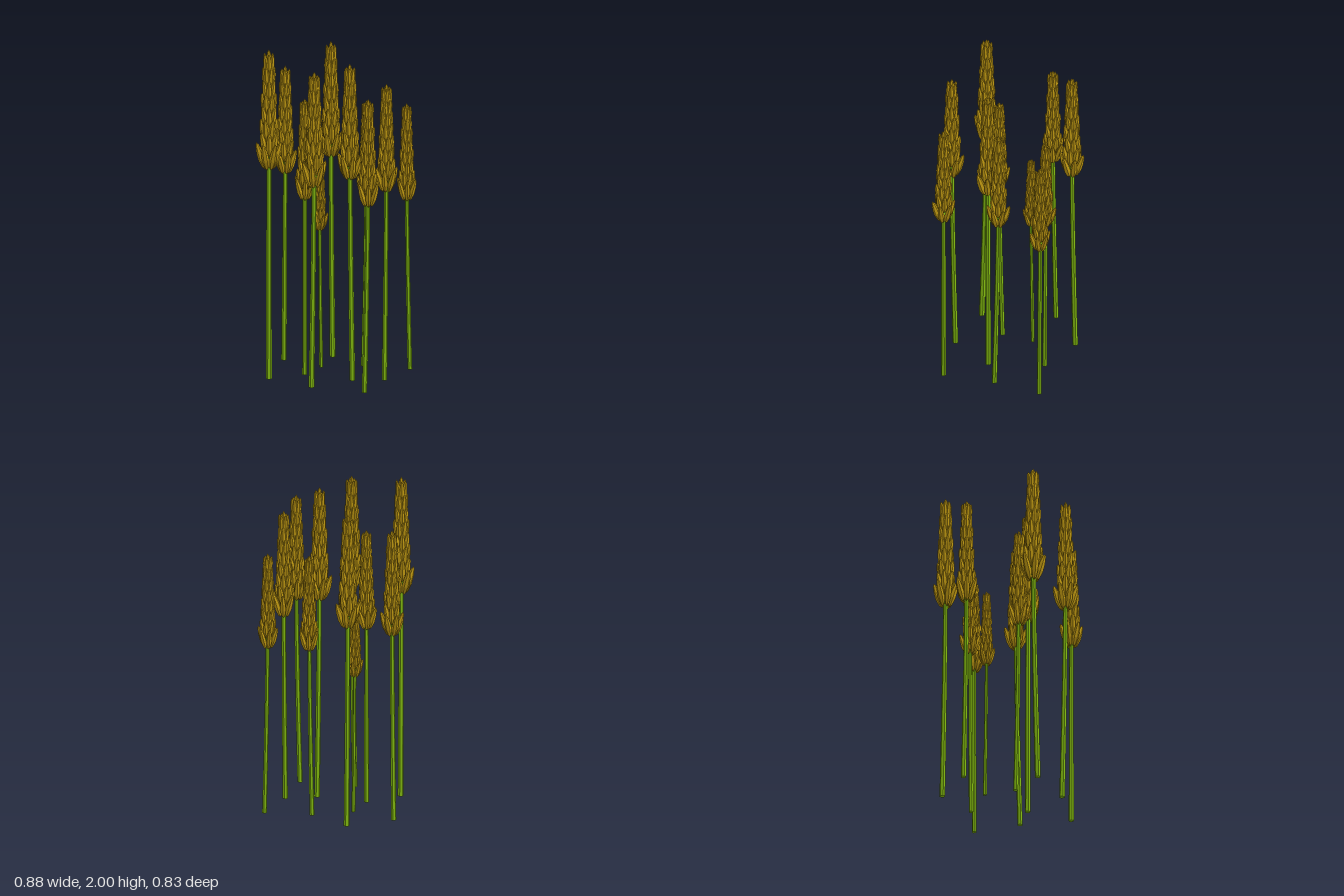
import * as THREE from 'three';
import { mergeGeometries } from 'three/addons/utils/BufferGeometryUtils.js';

const gold = new THREE.MeshStandardMaterial({ color: 0xc49c12, flatShading: true });
const green = new THREE.MeshStandardMaterial({ color: 0x85be10, flatShading: true });

// One kernel of unit length: a slim six-sided spindle standing on its base
function kernel(length, radius) {
  const profile = [[0, 0], [0.6, 0.1], [1, 0.36], [0.88, 0.64], [0.5, 0.9], [0, 1]];
  return new THREE.LatheGeometry(
    profile.map(([r, y]) => new THREE.Vector2(r * radius, y * length)), 6);
}

// Ear of grain for a stalk of unit height: alternating rings of leaning kernels
function earGeometry() {
  const parts = [];
  const rings = 8, perRing = 6;
  const pose = new THREE.Object3D();
  pose.rotation.order = 'YXZ';
  for (let i = 0; i < rings; i++) {
    const t = i / (rings - 1);
    const flare = i === 0 ? 1 : 0;
    const length = 0.078 + 0.01 * flare - 0.008 * t;
    const radius = 0.0108 - 0.0022 * t;
    const base = 0.011 - 0.005 * t;
    for (let k = 0; k < perRing; k++) {
      const a = ((k + (i % 2) / 2) / perRing) * Math.PI * 2;
      pose.position.set(Math.sin(a) * base, 0.634 + 0.285 * t, Math.cos(a) * base);
      pose.rotation.set(0.23 + 0.07 * flare - 0.11 * t, a, 0);
      pose.updateMatrix();
      parts.push(kernel(length, radius).applyMatrix4(pose.matrix));
    }
  }
  // Tip kernel
  parts.push(kernel(0.085, 0.01).translate(0, 0.915, 0));
  return mergeGeometries(parts);
}

// Stem for a stalk of unit height, its foot bowed sideways by (dx, dz)
function stemGeometry(dx, dz) {
  const top = 0.95;
  const geo = new THREE.CylinderGeometry(0.0065, 0.0088, top, 6, 8).translate(0, top / 2, 0);
  const p = geo.attributes.position;
  for (let i = 0; i < p.count; i++) {
    const bend = Math.max(0, 1 - p.getY(i) / 0.75) ** 1.5;
    p.setX(i, p.getX(i) + dx * bend);
    p.setZ(i, p.getZ(i) + dz * bend);
  }
  geo.computeVertexNormals();
  return geo;
}

// Each stalk: ear x, ear z, height, foot x, foot z
const stalks = [
  [-0.152, -0.344, 1.93, -0.15, -0.365],
  [0.115, -0.255, 1.62, 0.10, -0.245],
  [0.36, -0.286, 1.62, 0.38, -0.287],
  [-0.37, -0.17, 1.80, -0.385, -0.185],
  [-0.12, -0.104, 1.32, -0.115, -0.116],
  [0.342, -0.028, 1.80, 0.34, -0.003],
  [-0.13, 0.093, 1.69, -0.138, 0.075],
  [0.156, 0.085, 1.93, 0.17, 0.08],
  [-0.307, 0.217, 2.00, -0.295, 0.243],
  [0.037, 0.338, 1.93, 0.012, 0.322],
  [0.367, 0.30, 1.79, 0.345, 0.305],
];

export function createModel() {
  const model = new THREE.Group();
  model.name = 'wheatPatch';
  const earGeo = earGeometry();
  stalks.forEach(([x, z, height, footX, footZ], i) => {
    const stalk = new THREE.Group();
    stalk.name = `stalk${i + 1}`;
    const stem = new THREE.Mesh(stemGeometry((footX - x) / height, (footZ - z) / height), green);
    stem.name = 'stem';
    const ear = new THREE.Mesh(earGeo, gold);
    ear.name = 'ear';
    ear.rotation.y = i * 1.3;
    stalk.add(stem, ear);
    stalk.position.set(x, 0, z);
    stalk.scale.setScalar(height);
    model.add(stalk);
  });
  return model;
}
